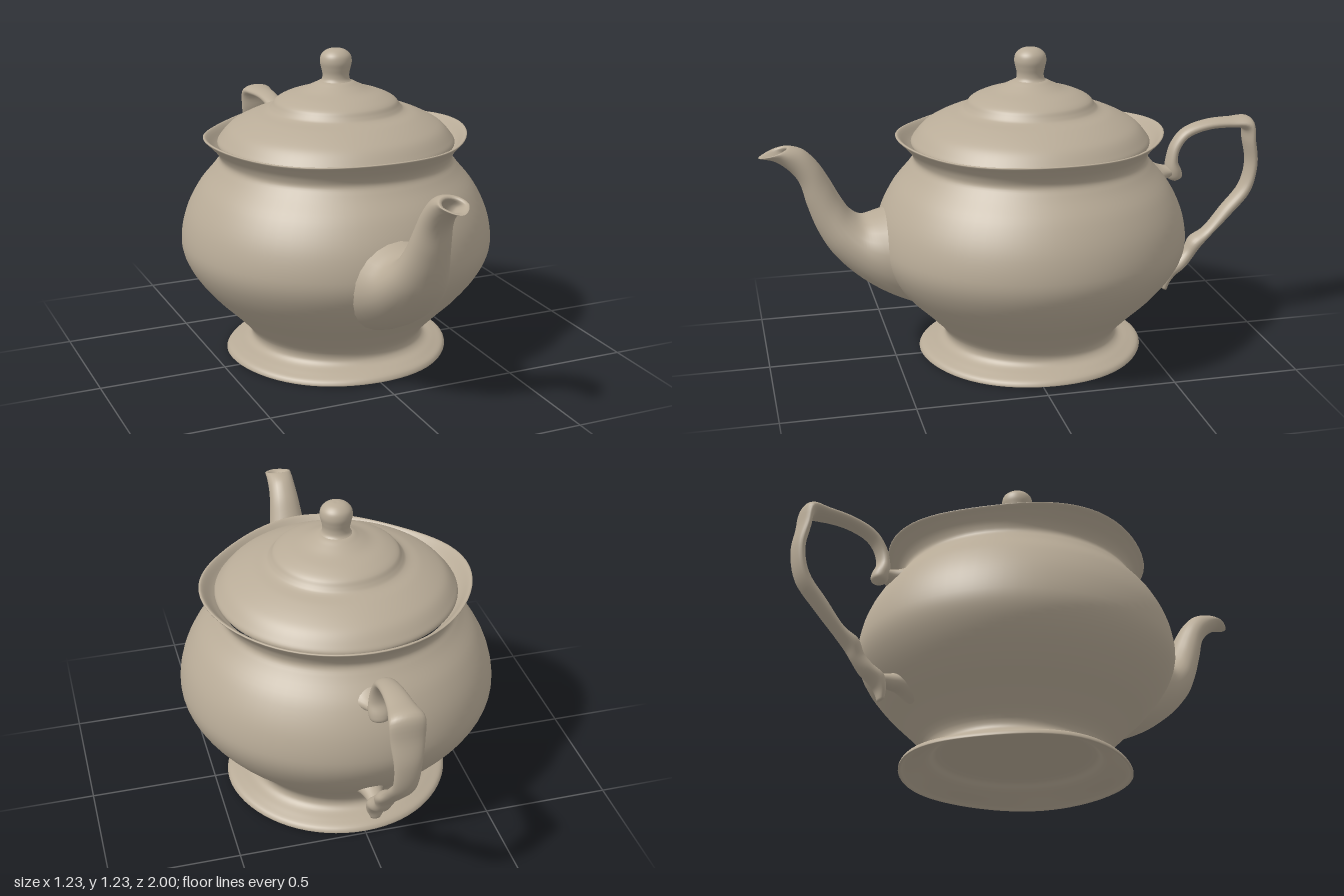
import * as THREE from 'three';
import { mergeVertices } from 'three/addons/utils/BufferGeometryUtils.js';

const AXIS_Z = -0.05; // the round body sits slightly behind the centre

const glaze = new THREE.MeshStandardMaterial({ color: 0xb8ab97 });
glaze.name = 'stoneware glaze';

// Smooth curve through [a, b, c] rows
function smooth(rows, n) {
  const pts = rows.map(([a, b, c = 0]) => new THREE.Vector3(a, b, c));
  return new THREE.CatmullRomCurve3(pts).getPoints(n);
}

// Turned part from a [radius, height] profile; wave(y) = lobe strength at a height
function turned(name, profile, n, wave) {
  const pts = smooth(profile, n).map((p) => new THREE.Vector2(Math.max(p.x, 0), p.y));
  let geo = new THREE.LatheGeometry(pts, 72);
  geo.deleteAttribute('uv');
  geo.deleteAttribute('normal');
  const pos = geo.attributes.position;
  for (let i = 0; wave && i < pos.count; i++) {
    const x = pos.getX(i), y = pos.getY(i), z = pos.getZ(i);
    const lobe = wave(y, Math.hypot(x, z)) * Math.cos(4 * Math.atan2(x, z));
    pos.setXYZ(i, x * (1 + lobe * 2), y + lobe * 0.7, z * (1 + lobe * 2));
  }
  geo = mergeVertices(geo, 1e-5);
  geo.computeVertexNormals();
  const mesh = new THREE.Mesh(geo, glaze);
  mesh.name = name;
  mesh.position.z = AXIS_Z;
  return mesh;
}

// Tube of oval sections, each row = [z1, y1, z2, y2, halfWidth]; ends are capped
function loft(name, rows, steps, pinch = () => 1) {
  const sides = 24;
  const n = (rows.length - 1) * steps;
  // split the curves so that opposite edges share one parameter
  const a = rows.map((r) => new THREE.Vector3(r[4], r[1], r[0]));
  const b = rows.map((r) => new THREE.Vector3(r[4], r[3], r[2]));
  const A = new THREE.CatmullRomCurve3(a).getPoints(n);
  const B = new THREE.CatmullRomCurve3(b).getPoints(n);
  const pos = [], index = [];
  for (let i = 0; i <= n; i++) {
    const w = (A[i].x + B[i].x) / 2;
    for (let j = 0; j < sides; j++) {
      const t = (j / sides) * Math.PI * 2, c = Math.cos(t);
      pos.push(
        w * Math.sin(t) * pinch(i / n, c),
        (A[i].y + B[i].y) / 2 + ((A[i].y - B[i].y) / 2) * c,
        (A[i].z + B[i].z) / 2 + ((A[i].z - B[i].z) / 2) * c
      );
      if (i === n) continue;
      const k = (j + 1) % sides, p = i * sides, q = p + sides;
      index.push(p + j, q + j, p + k, p + k, q + j, q + k);
    }
  }
  for (const i of [0, n]) {
    const centre = pos.length / 3;
    pos.push(0, (A[i].y + B[i].y) / 2, (A[i].z + B[i].z) / 2);
    for (let j = 0; j < sides; j++) {
      const p = i * sides + j, q = i * sides + ((j + 1) % sides);
      if (i === 0) index.push(centre, p, q);
      else index.push(centre, q, p);
    }
  }
  const geo = new THREE.BufferGeometry();
  geo.setAttribute('position', new THREE.Float32BufferAttribute(pos, 3));
  geo.setIndex(index);
  geo.computeVertexNormals();
  const mesh = new THREE.Mesh(geo, glaze);
  mesh.name = name;
  return mesh;
}

export function createModel() {
  const pot = new THREE.Group();
  pot.name = 'teapot';

  // Body: hollow foot, belly, waist, flared lobed rim and its inner wall
  pot.add(turned('body', [
    [0, 0.095], [0.15, 0.093], [0.3, 0.085], [0.335, 0.06], [0.42, 0.02], [0.438, 0.009],
    [0.444, 0.011], [0.436, 0.027], [0.4, 0.042], [0.36, 0.056], [0.345, 0.075], [0.35, 0.105],
    [0.42, 0.185], [0.505, 0.27], [0.575, 0.36], [0.608, 0.43], [0.615, 0.49], [0.595, 0.59],
    [0.545, 0.69], [0.48, 0.77], [0.458, 0.805], [0.467, 0.835], [0.495, 0.87], [0.516, 0.893],
    [0.508, 0.895], [0.475, 0.86], [0.445, 0.83], [0.44, 0.8],
  ], 130, (y, r) => (y > 0.82 ? 0.01 * Math.min((y - 0.82) / 0.06, 1)
    : y < 0.06 && r > 0.36 ? 0.006 * Math.min((r - 0.36) / 0.06, 1) : 0)));

  // Lid with a stepped dome
  pot.add(turned('lid', [
    [0.42, 0.85], [0.46, 0.855], [0.465, 0.868], [0.45, 0.892], [0.42, 0.925], [0.38, 0.95],
    [0.32, 0.977], [0.265, 0.995], [0.25, 1.01], [0.235, 1.03], [0.19, 1.053], [0.13, 1.072],
    [0.09, 1.09], [0.06, 1.104], [0, 1.11],
  ], 70));

  // Knob
  pot.add(turned('lidKnob', [
    [0.075, 1.092], [0.055, 1.11], [0.052, 1.13], [0.057, 1.155], [0.062, 1.18],
    [0.057, 1.205], [0.038, 1.223], [0.015, 1.23], [0, 1.23],
  ], 36));

  // Spout: swells out of the belly, ends in a pointed pouring lip with an open mouth
  pot.add(loft('spout', [
    [0.45, 0.65, 0.38, 0.22, 0.21],
    [0.565, 0.615, 0.53, 0.29, 0.18],
    [0.62, 0.605, 0.645, 0.37, 0.145],
    [0.66, 0.63, 0.74, 0.47, 0.115],
    [0.70, 0.69, 0.79, 0.56, 0.09],
    [0.737, 0.76, 0.825, 0.66, 0.074],
    [0.78, 0.83, 0.85, 0.75, 0.063],
    [0.83, 0.88, 0.885, 0.80, 0.057],
    [0.872, 0.895, 0.94, 0.842, 0.055],
    [0.885, 0.895, 0.998, 0.857, 0.053],
    [0.89, 0.885, 0.98, 0.86, 0.04],
    [0.86, 0.86, 0.905, 0.832, 0.036],
    [0.825, 0.82, 0.865, 0.79, 0.03],
  ], 6, (t, c) => (t > 0.6 && c < 0 ? 1 + 0.3 * c * Math.min((t - 0.6) / 0.15, 1) : 1)));

  // Handle: scroll, arch, square shoulder, long sweep and a curled tail
  const handle = new THREE.Group();
  handle.name = 'handle';
  handle.add(loft('handleLoop', [
    [-0.66, 0.658, -0.645, 0.656, 0.012],
    [-0.68, 0.675, -0.622, 0.668, 0.036],
    [-0.677, 0.70, -0.61, 0.70, 0.043],
    [-0.66, 0.74, -0.615, 0.75, 0.04],
    [-0.667, 0.785, -0.632, 0.81, 0.036],
    [-0.70, 0.83, -0.68, 0.868, 0.036],
    [-0.78, 0.86, -0.77, 0.90, 0.04],
    [-0.88, 0.865, -0.88, 0.907, 0.05],
    [-0.935, 0.855, -0.965, 0.902, 0.065],
    [-0.945, 0.80, -0.985, 0.81, 0.062],
    [-0.958, 0.71, -1.0, 0.71, 0.05],
    [-0.935, 0.62, -0.975, 0.59, 0.044],
    [-0.86, 0.53, -0.89, 0.49, 0.04],
    [-0.785, 0.44, -0.81, 0.41, 0.038],
    [-0.728, 0.405, -0.765, 0.362, 0.045],
    [-0.70, 0.355, -0.742, 0.325, 0.035],
    [-0.665, 0.32, -0.705, 0.28, 0.04],
    [-0.62, 0.29, -0.665, 0.25, 0.043],
    [-0.608, 0.235, -0.643, 0.225, 0.036],
    [-0.61, 0.195, -0.632, 0.188, 0.02],
  ], 5));
  handle.add(loft('upperJoint', [
    [-0.51, 0.61, -0.51, 0.77, 0.11],
    [-0.575, 0.655, -0.575, 0.73, 0.07],
    [-0.61, 0.67, -0.61, 0.722, 0.045],
    [-0.65, 0.68, -0.65, 0.72, 0.03],
  ], 5));
  handle.add(loft('lowerJoint', [
    [-0.48, 0.2, -0.48, 0.34, 0.09],
    [-0.55, 0.238, -0.55, 0.315, 0.05],
    [-0.59, 0.243, -0.59, 0.303, 0.036],
    [-0.64, 0.25, -0.64, 0.29, 0.03],
  ], 5));
  pot.add(handle);

  return pot;
}
